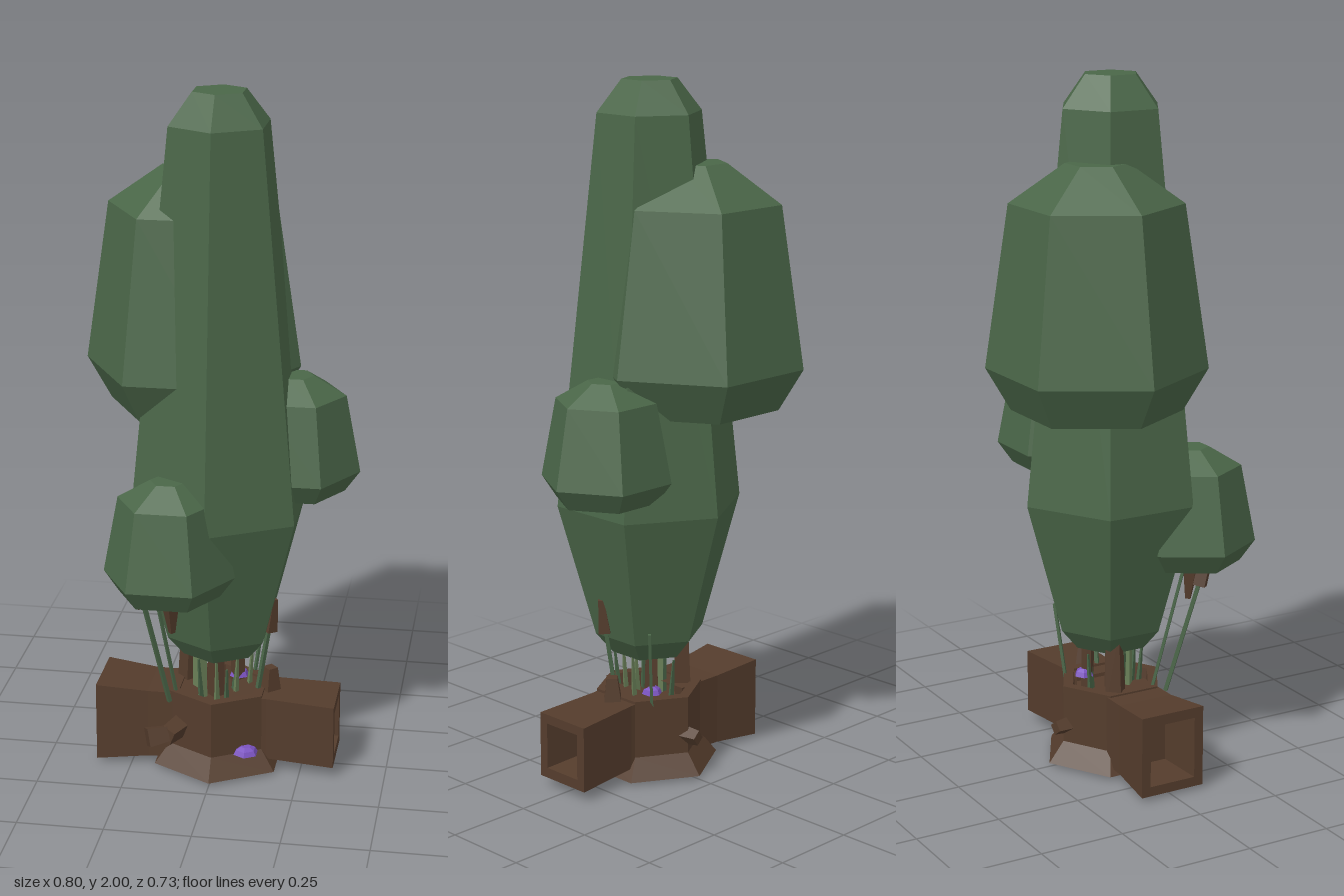
import * as THREE from 'three';

const mat = (name, color, side = THREE.FrontSide) =>
  Object.assign(new THREE.MeshStandardMaterial({ color, flatShading: true, side }), { name });

export function createModel() {
  const model = new THREE.Group();
  model.name = 'treePlanter';
  const leaf = mat('leafGreen', 0x4a6648);
  const stem = mat('stemGreen', 0x6a8058, THREE.DoubleSide);
  const bark = mat('barkBrown', 0x543c2c, THREE.DoubleSide);
  const purple = mat('mushroomPurple', 0x7a52c0);

  function add(name, geo, material, x = 0, y = 0, z = 0) {
    const m = new THREE.Mesh(geo, material);
    m.name = name;
    m.position.set(x, y, z);
    model.add(m);
    return m;
  }
  // Six-sided turned form from [radius, height] pairs, bottom to top
  const hex = (profile) => new THREE.LatheGeometry(profile.map(([r, y]) => new THREE.Vector2(r, y)), 6);

  // Straight tapered rod between two points
  function rod(name, a, b, r0, r1, material, sides = 4) {
    const p = new THREE.Vector3(...a), q = new THREE.Vector3(...b);
    const d = q.clone().sub(p);
    const m = add(name, new THREE.CylinderGeometry(r1, r0, d.length(), sides), material);
    m.position.copy(p).add(q).multiplyScalar(0.5);
    m.quaternion.setFromUnitVectors(new THREE.Vector3(0, 1, 0), d.normalize());
    return m;
  }

  // Rectangular tube from [x, bottom, top, half depth] rings, first ring closed
  function tube(rings) {
    const pos = [], idx = [];
    for (const [x, lo, hi, h] of rings) pos.push(x, lo, h, x, lo, -h, x, hi, -h, x, hi, h);
    for (let i = 0; i < rings.length - 1; i++) for (let k = 0; k < 4; k++) {
      const a = i * 4 + k, b = i * 4 + (k + 1) % 4;
      idx.push(a, b, b + 4, a, b + 4, a + 4);
    }
    idx.push(0, 1, 2, 0, 2, 3);
    const g = new THREE.BufferGeometry();
    g.setAttribute('position', new THREE.Float32BufferAttribute(pos, 3));
    g.setIndex(idx);
    g.computeVertexNormals();
    return g;
  }

  // Foliage: tall central mass and three side clumps
  add('mainFoliage', hex([[0, 0.35], [0.11, 0.35], [0.16, 0.41], [0.27, 0.8], [0.15, 1.91], [0.08, 2], [0, 2]]), leaf);
  const clumps = [
    ['backClump', -0.09, -0.095, [[0, 1.08], [0.24, 1.08], [0.31, 1.2], [0.242, 1.66], [0.087, 1.77], [0, 1.77]]],
    ['leftClump', 0.212, -0.042, [[0, 0.85], [0.145, 0.85], [0.188, 0.91], [0.145, 1.135], [0.052, 1.19], [0, 1.19]]],
    ['frontClump', -0.112, 0.2, [[0, 0.6], [0.145, 0.6], [0.188, 0.66], [0.145, 0.885], [0.052, 0.94], [0, 0.94]]],
  ];
  for (const [name, x, z, profile] of clumps) add(name, hex(profile), leaf, x, 0, z).rotation.y = Math.PI / 6;

  // Stump with flared foot and hollow top
  add('stump', hex([[0, 0.015], [0.205, 0.01], [0.158, 0.07], [0.158, 0.24], [0.125, 0.24], [0.12, 0.2], [0, 0.2]]), bark);

  // Hollow log arms
  add('rightLogArm', tube([[-0.22, 0.05, 0.2, 0.055], [-0.352, 0.04, 0.22, 0.072],
    [-0.352, 0.012, 0.25, 0.1], [-0.2, 0.025, 0.235, 0.085], [-0.05, 0.03, 0.235, 0.085]]), bark);
  add('leftLogArm', tube([[0.22, 0.07, 0.19, 0.05], [0.35, 0.06, 0.195, 0.062],
    [0.35, 0.03, 0.222, 0.09], [0.15, 0.04, 0.232, 0.078], [0.05, 0.04, 0.235, 0.085]]), bark);

  // Cut branch stubs, front and back
  rod('frontStubBase', [-0.1, 0.135, 0.09], [-0.13, 0.135, 0.165], 0.035, 0.03, bark);
  rod('frontStubTip', [-0.13, 0.135, 0.15], [-0.185, 0.13, 0.175], 0.03, 0.038, bark);
  rod('backStub', [0, 0.12, -0.12], [-0.01, 0.12, -0.19], 0.03, 0.022, bark);
  rod('topStub', [0.148, 0.2, 0], [0.152, 0.3, 0], 0.04, 0.022, bark);

  // Inner trunks rising into the foliage
  for (const [x, z, r] of [[-0.1, -0.04, 0.034], [-0.01, 0.0, 0.026], [0.05, -0.05, 0.022]])
    rod('innerTrunk', [x, 0.18, z], [x * 0.9, 0.42, z], r, r * 0.85, bark);

  // Pale stems and grass blades in the hollow
  for (let i = 0; i < 9; i++) {
    const a = i * 2.4, r = 0.05 + 0.006 * i;
    const x = Math.sin(a) * r, z = Math.cos(a) * r;
    rod('grassStem', [x, 0.19, z], [x * 1.15, 0.33 + 0.015 * (i % 4), z * 1.15], 0.011, 0.004, i % 3 ? leaf : stem, 3);
  }
  rod('paleStem', [-0.055, 0.19, 0.02], [-0.055, 0.4, 0.02], 0.022, 0.02, stem);

  // Hanging vines and the bark chips at their tops
  rod('frontVine', [-0.13, 0.22, 0.11], [-0.2, 0.62, 0.2], 0.008, 0.008, leaf);
  rod('frontVine', [-0.115, 0.22, 0.07], [-0.17, 0.62, 0.15], 0.006, 0.006, leaf);
  rod('leftVine', [0.115, 0.22, 0.02], [0.16, 0.5, 0.03], 0.008, 0.008, leaf);
  rod('leftVine', [0.09, 0.22, -0.1], [0.12, 0.45, -0.12], 0.006, 0.006, leaf);
  rod('barkChip', [-0.2, 0.55, 0.18], [-0.2, 0.63, 0.2], 0.024, 0.024, bark);
  rod('barkChip', [-0.105, 0.48, 0.2], [-0.11, 0.62, 0.21], 0.01, 0.034, bark);
  rod('barkChip', [0.152, 0.43, 0.03], [0.165, 0.53, 0.03], 0.024, 0.012, bark);

  // Mushroom caps
  for (const [x, y, z, r] of [[0.095, 0.07, 0.11, 0.038], [0.05, 0.24, -0.06, 0.03]])
    add('mushroomCap', hex([[0, 0], [r, 0], [r * 0.8, 0.014], [r * 0.4, 0.022], [0, 0.022]]), purple, x, y, z);

  // Moss under the foot
  add('mossPatch', new THREE.CylinderGeometry(0.1, 0.1, 0.012, 7), leaf, 0.01, 0.006, 0);
  return model;
}
